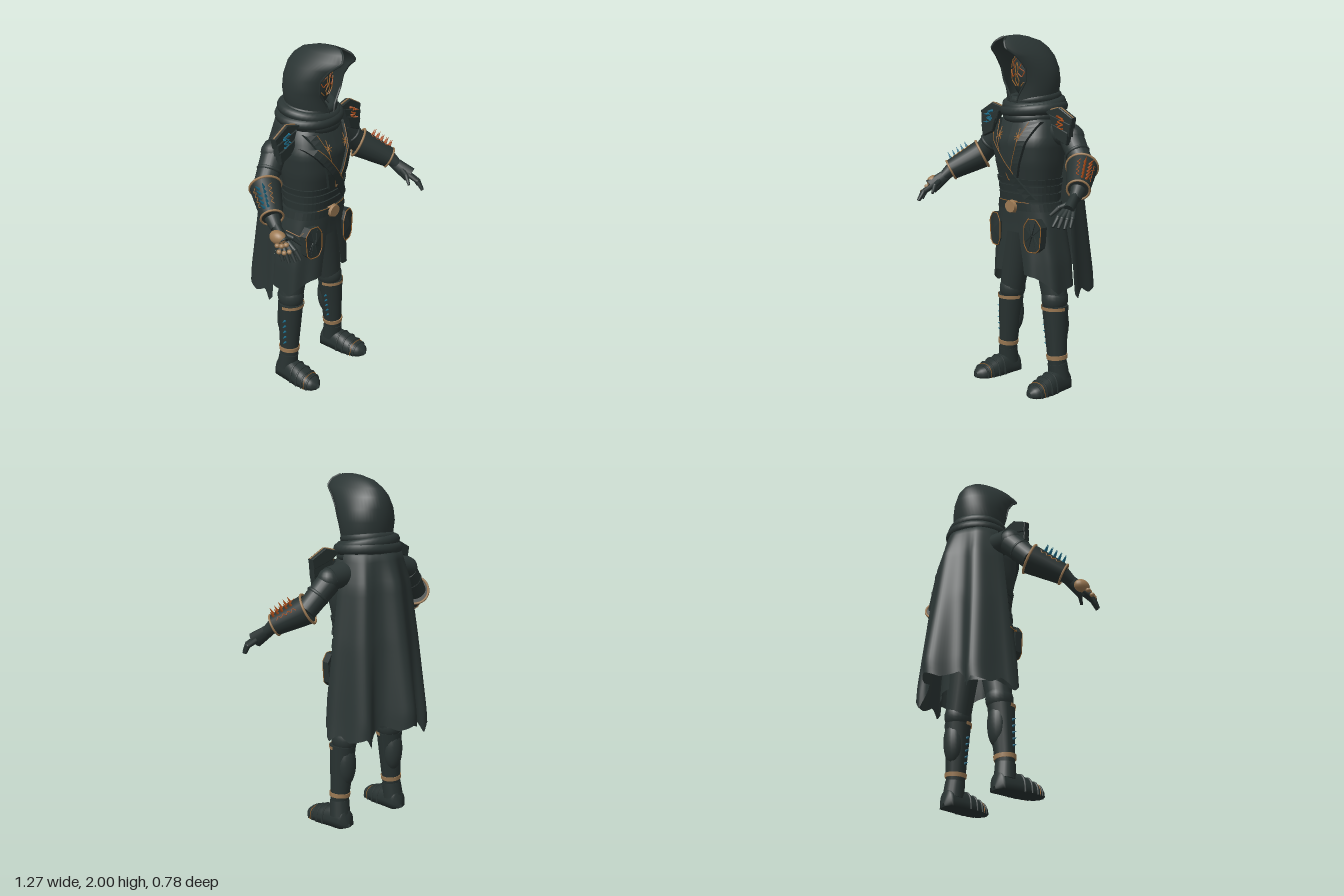
import * as THREE from 'three';

const mat = (name, color) => {
  const m = new THREE.MeshStandardMaterial({ color, side: THREE.DoubleSide });
  m.name = name;
  return m;
};
const V = (x, y, z) => new THREE.Vector3(x, y, z);

// Surface through rows of equally many points
function loft(rows, closed = false, flat = false) {
  const n = rows[0].length, idx = [];
  for (let r = 0; r < rows.length - 1; r++)
    for (let i = 0; i < (closed ? n : n - 1); i++) {
      const j = (i + 1) % n, a = r * n + i, b = r * n + j;
      idx.push(a, b, a + n, b, b + n, a + n);
    }
  let g = new THREE.BufferGeometry().setFromPoints(rows.flat());
  g.setIndex(idx);
  if (flat) g = g.toNonIndexed();
  g.computeVertexNormals();
  return g;
}
const range = (n, f) => Array.from({ length: n }, (_, i) => f(i / (n - 1), i));
const bend = (t) => Math.sign(t) * Math.abs(t) ** 0.8;
// Linear lookup in a table sorted by falling first column
function sample(table, y) {
  let i = 0;
  while (i < table.length - 2 && y < table[i + 1][0]) i++;
  const a = table[i], b = table[i + 1];
  const t = THREE.MathUtils.clamp((y - a[0]) / (b[0] - a[0]), 0, 1);
  return a.map((v, k) => v + (b[k] - v) * t);
}

// Body profile: height, half width, front z, back z
const BODY = [[1.6, 0.1, 0.1, -0.1], [1.53, 0.18, 0.14, -0.14], [1.42, 0.215, 0.185, -0.15], [1.3, 0.205, 0.18, -0.14],
  [1.16, 0.18, 0.15, -0.12], [1.07, 0.178, 0.14, -0.11], [0.95, 0.205, 0.135, -0.13], [0.75, 0.235, 0.14, -0.15], [0.5, 0.25, 0.15, -0.16]];
function bodyPoint(y, phi, off = 0) {
  const [, w, f, b] = sample(BODY, y);
  return V((w + off) * bend(Math.sin(phi)), y, (f + b) / 2 + ((f - b) / 2 + off) * bend(Math.cos(phi)));
}
function onFront(x, y, off = 0) {
  const [, w] = sample(BODY, y);
  const s = Math.min(1, Math.abs(x) / (w + off)) ** 1.25;
  return bodyPoint(y, Math.sign(x) * Math.asin(s), off);
}

export function createModel() {
  const root = new THREE.Group();
  const cloth = mat('dark cloth', 0x2b3534), leather = mat('dark leather', 0x283231), gold = mat('dull gold', 0x9c7a54);
  const orange = mat('burnt orange', 0xb0501c), blue = mat('deep teal', 0x1c6e8c), trim = mat('bronze stitching', 0xa2692f);

  const add = (name, geo, m) => {
    const mesh = new THREE.Mesh(geo, m);
    mesh.name = name;
    root.add(mesh);
    return mesh;
  };
  const limb = (name, a, b, ra, rb, m, sides = 20) => {
    const mesh = add(name, new THREE.CylinderGeometry(rb, ra, a.distanceTo(b), sides), m);
    mesh.position.copy(a).lerp(b, 0.5);
    mesh.quaternion.setFromUnitVectors(V(0, 1, 0), b.clone().sub(a).normalize());
    return mesh;
  };
  const ball = (name, p, rx, ry, rz, m) => {
    const mesh = add(name, new THREE.SphereGeometry(1, 20, 14), m);
    mesh.position.copy(p);
    mesh.scale.set(rx, ry, rz);
    return mesh;
  };
  const ring = (name, p, dir, r, tube, m) => {
    const mesh = add(name, new THREE.TorusGeometry(r, tube, 8, 32), m);
    mesh.position.copy(p);
    mesh.quaternion.setFromUnitVectors(V(0, 0, 1), dir);
  };
  const line = (name, pts, r, m, closed = false) =>
    add(name, new THREE.TubeGeometry(new THREE.CatmullRomCurve3(pts, closed, 'catmullrom', 0.1), pts.length * 4, r, 5, closed), m);
  const spike = (p, dir, len, m) => limb('spike', p, p.clone().addScaledVector(dir, len), 0.008, 0.0005, m, 6);

  // Torso, waist wraps and belt
  add('torso', loft(range(24, (t) => range(40, (u) => bodyPoint(1.6 - 0.7 * t, u * 2 * Math.PI)))), cloth);
  const band = (name, y0, y1, off, m) => add(name, loft([[y0, 0], [y0, off], [y1, off], [y1, 0]].map(([y, o]) =>
    range(40, (u) => bodyPoint(y, u * 2 * Math.PI, o))), false, true), m);
  band('belt', 1.03, 1.075, 0.016, leather);
  [[1.085, 1.125], [1.135, 1.17], [1.18, 1.21]].forEach(([a, b]) => band('waistWrap', a, b, 0.009, leather));
  line('beltStitch', range(15, (t) => onFront(-0.12 + 0.24 * t, 1.079, 0.016)), 0.002, trim);
  const buckle = limb('buckle', V(0, 1.05, 0.14), V(0, 1.05, 0.172), 0.046, 0.04, gold, 10);
  buckle.scale.z = 0.85;

  // Crossing straps and lapels that follow the chest
  const ribbon = (name, a, b, w, off, m) => add(name, loft(range(14, (t) => {
    const x = a[0] + (b[0] - a[0]) * t, y = a[1] + (b[1] - a[1]) * t;
    return [[-w, 0], [-w, off], [w, off], [w, 0]].map(([d, o]) => onFront(x + d, y, o));
  }), true, true), m);
  for (const s of [-1, 1]) {
    ribbon('lapel', [s * 0.145, 1.53], [s * 0.03, 1.2], 0.024, 0.016, leather);
    line('lapelTrim', range(10, (t) => onFront(s * (0.12 - 0.115 * t), 1.53 - 0.33 * t, 0.016)), 0.002, trim);
    // Star ornament on the chest
    for (let k = 0; k < 4; k++) {
      const c = Math.cos(k * Math.PI / 4), q = Math.sin(k * Math.PI / 4), r = [0.026, 0.026, 0.045, 0.026][k];
      line('chestStar', range(5, (t) => onFront(s * 0.075 + c * r * (2 * t - 1), 1.45 + q * r * (2 * t - 1), 0.01)), 0.0022, trim);
    }
  }
  ribbon('chestStrap', [-0.17, 1.46], [0.13, 1.1], 0.028, 0.02, leather);
  line('strapTrim', range(10, (t) => onFront(-0.145 + 0.19 * t, 1.46 - 0.22 * t, 0.021)), 0.002, trim);

  // Split coat skirt with ragged hem, and hip pouches
  for (const s of [-1, 1]) {
    const hem = [[0, 0.67], [-0.12, 0.66], [-0.3, 0.61], [-0.42, 0.56], [-0.5, 0.58], [-0.7, 0.6], [-1, 0.62]];
    add('coatSkirt', loft(range(16, (t) => range(40, (u) => {
      const y = 1.06 + (sample(hem, -u)[1] - 1.06) * t;
      return bodyPoint(y, s * (0.05 + 0.25 * t + u * (2.9 - 0.25 * t)), 0.012 + 0.008 * Math.sin(u * 22) * t);
    }))), cloth);
    const hex = (k, z) => [[0.13, 0.995], [0.18, 0.995], [0.215, 0.95], [0.205, 0.83], [0.18, 0.805], [0.125, 0.805], [0.1, 0.85], [0.1, 0.95]]
      .map(([x, y]) => V(s * (0.158 + (x - 0.158) * k), 0.9 + (y - 0.9) * k, z - 0.2 * (x - 0.1)));
    add('pouch', loft([hex(0.98, 0.11), hex(1, 0.155), hex(0.01, 0.16)], true, true), leather);
    line('pouchTrim', hex(0.98, 0.157), 0.0027, trim, true);
  }
  line('coatStitch', [[-0.24, 0.965], [-0.215, 0.945], [-0.2, 0.965], [-0.185, 0.95]].map(([x, y]) => onFront(x, y, 0.03)), 0.0025, trim);

  // Legs
  for (const s of [-1, 1]) {
    const hip = V(s * 0.1, 0.95, -0.01), knee = V(s * 0.18, 0.52, -0.01);
    limb('thigh', hip, knee, 0.1, 0.072, cloth);
    ball('knee', knee, 0.073, 0.085, 0.08, cloth);
    const top = V(s * 0.187, 0.48, -0.005), low = V(s * 0.212, 0.13, 0), axis = low.clone().sub(top).normalize();
    limb('shinGuard', top, low, 0.076, 0.052, leather, 14);
    ball('calf', V(s * 0.19, 0.37, -0.035), 0.06, 0.13, 0.052, cloth);
    const cuff = add('shinTopTrim', new THREE.CylinderGeometry(0.08, 0.079, 0.02, 20, 1, true, -Math.PI / 2, Math.PI), gold);
    cuff.position.set(s * 0.187, 0.473, -0.005);
    limb('ankleTrim', V(s * 0.2075, 0.198, 0), V(s * 0.2095, 0.174, 0), 0.062, 0.06, gold);
    limb('ankle', V(s * 0.212, 0.15, 0), V(s * 0.218, 0.06, -0.01), 0.056, 0.06, leather);
    for (let k = 0; k < 5; k++)
      spike(top.clone().addScaledVector(axis, 0.09 + k * 0.036).add(V(-0.066 + k * 0.003, 0, 0.015)), V(-1, 0.1, 0.15).normalize(), 0.028, blue);
    // Boot: distance along foot, half width, height
    const FOOT = [[0.235, 0.012, 0.03], [0.22, 0.042, 0.05], [0.18, 0.062, 0.068], [0.1, 0.068, 0.096], [0.03, 0.06, 0.112], [-0.04, 0.055, 0.105], [-0.075, 0.05, 0.09], [-0.08, 0.01, 0.02]];
    const arch = (z, k = 1) => {
      const [, w, h] = sample(FOOT, z);
      return range(17, (t) => V(s * (0.218 + z * 0.06) + w * k * bend(Math.cos(t * Math.PI)), h * k * Math.sin(t * Math.PI) ** 0.7, z));
    };
    add('boot', loft(range(20, (t) => arch(0.235 - 0.315 * t)), true), leather);
    for (const z of [0.07, 0.115, 0.155, 0.19]) line('bootStrap', arch(z, 1.01), 0.006, cloth);
    line('bootTrim', arch(0.172, 1.02), 0.002, trim);
  }

  // Arms, bracers, shoulder plates and hands
  for (const s of [-1, 1]) {
    const accent = s > 0 ? orange : blue;
    const P = (x, y, z) => V(s * x, y, z);
    limb('shoulder', P(0.14, 1.475, -0.025), P(0.3, 1.455, -0.025), 0.07, 0.066, cloth);
    ball('shoulderCap', P(0.3, 1.45, -0.025), 0.066, 0.067, 0.064, cloth);
    limb('upperArm', P(0.3, 1.435, -0.02), P(0.43, 1.29, 0.02), 0.068, 0.06, cloth);
    ring('sleeveFold', P(0.36, 1.37, 0), P(0.13, -0.145, 0.04).normalize(), 0.058, 0.011, cloth);
    const a = P(0.415, 1.3, 0.02), b = P(0.53, 1.205, 0.165), d = b.clone().sub(a).normalize();
    limb('bracer', a, b, 0.085, 0.06, leather);
    ring('bracerCuff', a, d, 0.085, 0.007, gold);
    ring('bracerWristTrim', b, d, 0.06, 0.006, gold);
    const n = P(0.6, 0.8, 0);
    n.addScaledVector(d, -n.dot(d)).normalize();
    const q = d.clone().cross(n);
    const around = (t, ang, o = 0) => a.clone().lerp(b, t)
      .addScaledVector(n, (0.085 - 0.025 * t + o) * Math.cos(ang)).addScaledVector(q, (0.085 - 0.025 * t + o) * Math.sin(ang));
    for (const ang of [-0.18, 0.18])
      for (let k = 0; k < 5; k++)
        spike(around(0.3 + k * 0.14, ang), n.clone().applyAxisAngle(d, ang), 0.04, accent);
    for (const ang of [-0.6, 0.6])
      line('bracerPattern', range(9, (t, i) => around(0.2 + 0.6 * t, ang + (i % 2 ? 0.12 : -0.12), 0.001)), 0.0022, s > 0 ? orange : trim);

    // Overlapping plates on the front of the shoulder
    const TIERS = [[[0.175, 1.585], [0.275, 1.61], [0.372, 1.56], [0.362, 1.51], [0.235, 1.55]],
      [[0.21, 1.57], [0.362, 1.525], [0.355, 1.465], [0.24, 1.5]], [[0.235, 1.52], [0.352, 1.48], [0.342, 1.42], [0.265, 1.45]]];
    TIERS.forEach((pts, k) => {
      const shape = new THREE.Shape(pts.map(([x, y]) => new THREE.Vector2(s * x, y)));
      const g = new THREE.ExtrudeGeometry(shape, { depth: 0.03, bevelSize: 0.004, bevelThickness: 0.004, bevelSegments: 1 });
      add('shoulderPlate', g, leather).position.z = 0.028 + k * 0.007;
    });
    line('plateTrim', [P(0.2, 1.597, 0.047), P(0.275, 1.614, 0.047), P(0.375, 1.562, 0.047)], 0.005, gold);
    for (let k = 0; k < 4; k++)
      spike(P(0.27 + (k % 2) * 0.04, 1.565 - k * 0.022, 0.062), P(0.35, 0.15, 1).normalize(), 0.03, accent);
    line('platePattern', range(7, (t, i) => P(0.27 + (i % 2) * 0.045, 1.565 - 0.085 * t, 0.064 + 0.007 * t)), 0.005, accent);

    // Hand with four fingers and a thumb
    const wrist = P(0.53, 1.195, 0.17), palm = P(0.558, 1.145, 0.24);
    limb('wrist', b, P(0.55, 1.165, 0.21), 0.042, 0.03, cloth);
    const hand = limb('palm', wrist, P(0.575, 1.11, 0.285), 0.03, 0.046, leather, 14);
    hand.scale.x = 0.7;
    const fingers = [[0.553, 1.11, 0.3, 0.565, 1.04, 0.385], [0.572, 1.105, 0.3, 0.59, 1.035, 0.37], [0.588, 1.1, 0.285, 0.61, 1.03, 0.345],
      [0.598, 1.1, 0.265, 0.622, 1.035, 0.315], [0.535, 1.14, 0.25, 0.495, 1.085, 0.335]];
    for (const f of fingers) {
      const k = P(f[0], f[1], f[2]), tip = P(f[3], f[4], f[5]);
      const mid = k.clone().lerp(tip, 0.5).add(V(s * 0.006, 0.012, 0.004));
      limb('finger', palm.clone().lerp(k, 0.6), mid, 0.017, 0.013, leather, 10);
      limb('fingertip', mid, tip, 0.013, 0.008, leather, 10);
      ball('knuckle', mid, 0.0135, 0.0135, 0.0135, leather);
      if (s < 0 && f[0] > 0.56) for (const t of [0.1, 0.5])
        ball('goldKnuckle', k.clone().lerp(tip, t).add(V(-0.012, 0.014, 0)), 0.015, 0.013, 0.015, gold);
    }
    if (s < 0) ball('gauntletPlate', P(0.585, 1.138, 0.25), 0.036, 0.038, 0.05, gold);
  }

  // Wrapped scarf
  const wrap = (y, rx, rz, tube, tilt, roll) => {
    const t = add('scarfFold', new THREE.TorusGeometry(1, tube / rx, 10, 40), cloth);
    t.position.set(0, y, -0.015);
    t.rotation.set(Math.PI / 2 + tilt, roll, 0);
    t.scale.set(rx, rz, rx);
  };
  wrap(1.655, 0.132, 0.13, 0.026, 0.12, 0.04);
  wrap(1.625, 0.155, 0.145, 0.032, 0.16, -0.05);
  wrap(1.595, 0.168, 0.155, 0.033, 0.08, 0.05);
  wrap(1.57, 0.148, 0.145, 0.032, 0.16, -0.03);

  // Hood: height, half width, back z, opening half width, rim z
  const HOOD = [[2.0, 0.0015, 0.09, 0.001, 0.16], [1.992, 0.03, 0.035, 0.008, 0.2], [1.968, 0.062, -0.055, 0.035, 0.24], [1.93, 0.095, -0.11, 0.058, 0.25],
    [1.885, 0.126, -0.142, 0.085, 0.19], [1.82, 0.15, -0.158, 0.1, 0.14], [1.75, 0.16, -0.16, 0.09, 0.13], [1.67, 0.148, -0.15, 0.035, 0.135], [1.6, 0.13, -0.13, 0.012, 0.14]];
  const hoodRows = HOOD.map(([y, w, zb, xf, zf]) => {
    const end = Math.PI - Math.asin(xf / w);
    return range(41, (t) => {
      const a = (t * 2 - 1) * end;
      return V(w * Math.sin(a), y, zb + (zf - zb) * (1 - Math.cos(a)) / (1 - Math.cos(end)));
    });
  });
  add('hood', loft(hoodRows), cloth);
  for (const i of [0, 40]) line('hoodRim', hoodRows.slice(1).map((r) => r[i]), 0.006, cloth);

  // Mask with winding engraved lines
  ball('mask', V(0, 1.8, 0.025), 0.1, 0.16, 0.09, leather);
  const onMask = (x, y) => V(x, y, 0.028 + 0.09 * Math.sqrt(Math.max(0, 1 - (x / 0.1) ** 2 - ((y - 1.8) / 0.16) ** 2)));
  const face = [[[0.008, 1.93], [0.035, 1.91], [0.03, 1.88], [0.058, 1.86], [0.07, 1.82]], [[0.01, 1.87], [0.035, 1.85], [0.02, 1.82], [0.052, 1.8], [0.035, 1.77], [0.012, 1.79]],
    [[0.072, 1.81], [0.06, 1.78], [0.065, 1.75], [0.04, 1.74], [0.02, 1.72]], [[0.0, 1.85], [0.012, 1.82], [0.004, 1.78], [0.015, 1.75], [0.0, 1.72]]];
  for (const s of [-1, 1])
    face.forEach((pts, i) => line('maskPattern', pts.map(([x, y]) => onMask(s * x, y)), 0.0028, i === 1 ? orange : trim));

  // Cape: height share, half width, back depth, fold depth; then hem height by angle
  const CAPE = [[0, 0.13, 0.15, 0], [-0.03, 0.19, 0.195, 0.005], [-0.2, 0.235, 0.245, 0.02], [-0.5, 0.275, 0.285, 0.03], [-0.92, 0.315, 0.33, 0.055], [-1, 0.325, 0.33, 0.055]];
  const HEM = [[0, 0.64], [-0.2, 0.61], [-0.42, 0.64], [-0.72, 0.52], [-0.85, 0.58], [-1.1, 0.55], [-1.25, 0.59], [-1.45, 0.54], [-1.55, 0.57]];
  add('cape', loft(range(30, (t) => range(81, (u) => {
    const a = (u * 2 - 1) * 1.55, [, w, depth, fold] = sample(CAPE, -t);
    const y = 1.61 + (sample(HEM, -Math.abs(a))[1] - 1.61) * t;
    return V(w * Math.sin(a) + 0.006 * t * Math.sin(a * 14), y, -0.02 - (depth - 0.02) * Math.cos(a) - fold * Math.cos(a * 6.9) * Math.cos(a * 0.9));
  }))), cloth);

  return root;
}
